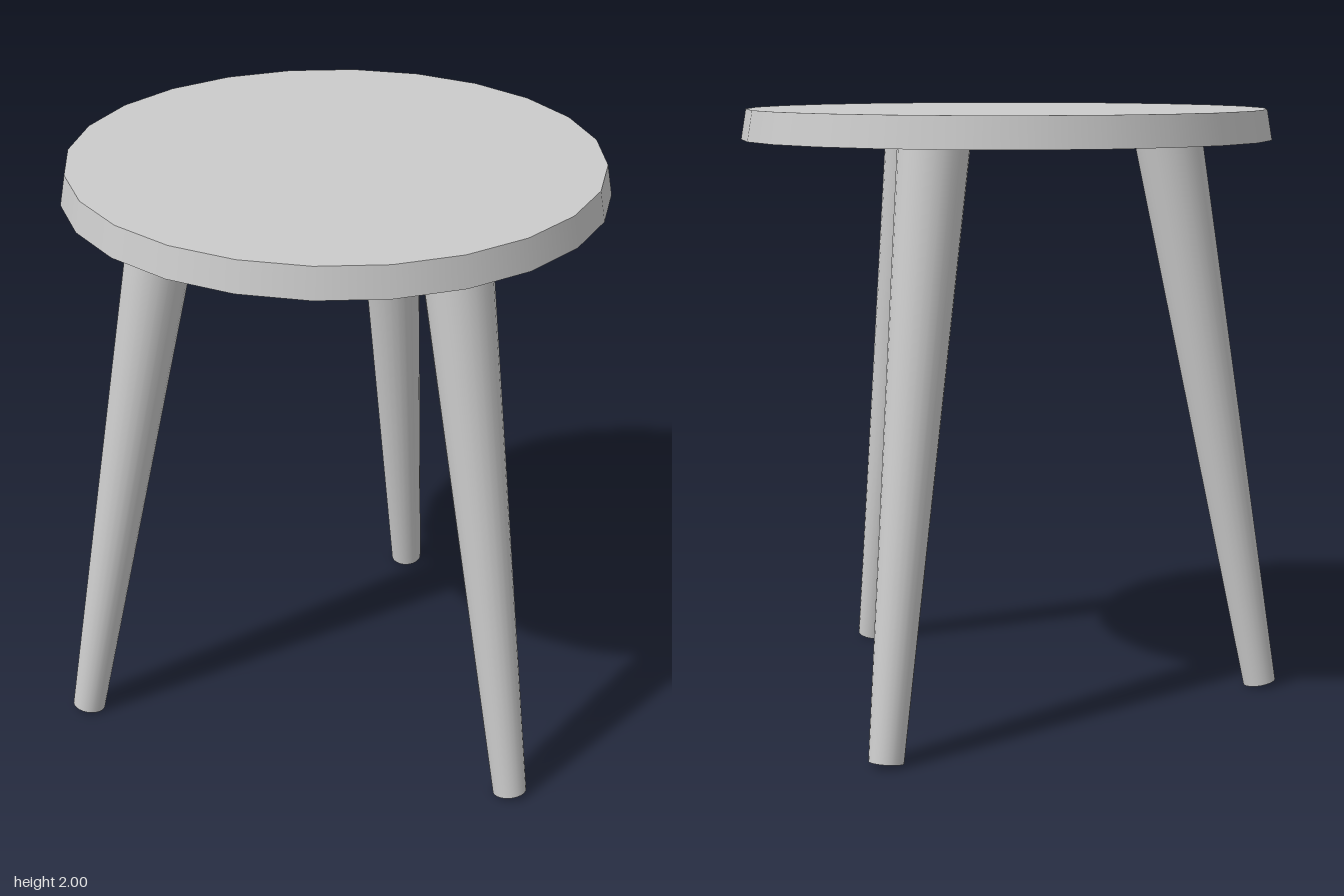
import * as THREE from 'three';

export function createModel() {
  const stool = new THREE.Group();
  stool.name = 'stool';
  stool.position.x = 0.03;
  const material = new THREE.MeshStandardMaterial({ color: 0xcccccc });

  // Round seat with a slightly tapered rim
  const seat = new THREE.Mesh(new THREE.CylinderGeometry(0.861, 0.878, 0.1, 24), material);
  seat.name = 'seat';
  seat.position.y = 1.95;
  stool.add(seat);

  // Three splayed, tapered legs; the tops are sunk into the seat
  const foot = new THREE.Vector3(-0.885, 0.01, 0.01);
  const top = new THREE.Vector3(-0.537, 1.93, 0.01);
  const axis = top.clone().sub(foot);
  const legGeometry = new THREE.CylinderGeometry(0.115, 0.056, axis.length(), 24);
  const up = new THREE.Vector3(0, 1, 0);

  ['rightLeg', 'frontLeg', 'backLeg'].forEach((name, i) => {
    const leg = new THREE.Mesh(legGeometry, material);
    leg.position.copy(foot).add(top).multiplyScalar(0.5);
    leg.quaternion.setFromUnitVectors(up, axis.clone().normalize());
    const pivot = new THREE.Group();
    pivot.name = name;
    pivot.rotation.y = (i * Math.PI * 2) / 3;
    pivot.add(leg);
    stool.add(pivot);
  });

  const model = new THREE.Group();
  model.add(stool);
  return model;
}
